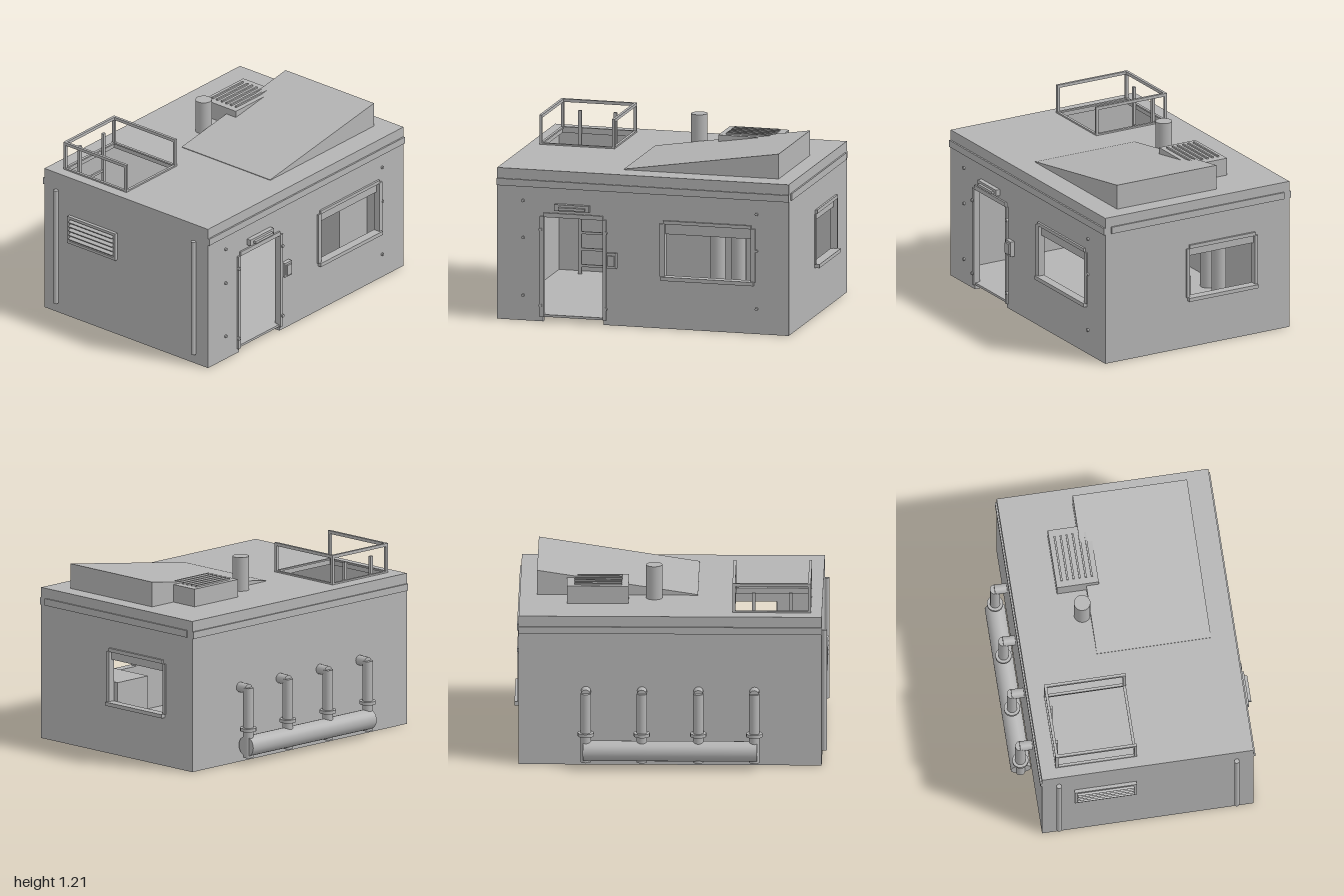
import * as THREE from 'three';

const T = 0.035;                                   // wall thickness
const X = 0.965, ZF = 0.725, ZB = -0.638, TOP = 0.985, CEIL = 0.955;

export function createModel() {
  const model = new THREE.Group();
  model.name = 'bunkerHut';
  const grey = new THREE.MeshStandardMaterial({ color: 0xb4b4b4 });
  grey.name = 'plain grey';

  const add = (name, geo, x = 0, y = 0, z = 0) => {
    const m = new THREE.Mesh(geo, grey);
    m.name = name;
    m.position.set(x, y, z);
    model.add(m);
    return m;
  };
  const box = (name, x0, x1, y0, y1, z0, z1) =>
    add(name, new THREE.BoxGeometry(x1 - x0, y1 - y0, z1 - z0), (x0 + x1) / 2, (y0 + y1) / 2, (z0 + z1) / 2);
  // axis: 'x', 'y' or 'z'
  const rod = (name, axis, r, len, x, y, z, sides = 16) => {
    const g = new THREE.CylinderGeometry(r, r, len, sides);
    if (axis === 'x') g.rotateZ(Math.PI / 2);
    if (axis === 'z') g.rotateX(Math.PI / 2);
    return add(name, g, x, y, z);
  };
  const outline = (pts) => new THREE.Shape(pts.map(([a, b]) => new THREE.Vector2(a, b)));
  const rect = (a0, a1, b0, b1) => [[a0, b0], [a1, b0], [a1, b1], [a0, b1]];
  const panel = (pts, depth, holes = []) => {
    const s = outline(pts);
    holes.forEach((h) => s.holes.push(outline(h)));
    return new THREE.ExtrudeGeometry(s, { depth, bevelEnabled: false });
  };

  // Front wall with door notch and window
  add('frontWall', panel(
    [[-X, 0], [-0.66, 0], [-0.66, 0.685], [-0.26, 0.685], [-0.26, 0], [X, 0], [X, CEIL], [-X, CEIL]],
    T, [rect(0.145, 0.715, 0.34, 0.685)]), 0, 0, ZF - T);
  box('backWall', -X, X, 0, CEIL, ZB, ZB + T);
  box('rightEndWall', -X, -X + T, 0, CEIL, ZB + T, ZF - T);
  // Left end wall with window; drawn along -z
  const side = panel(rect(-ZF + T, -ZB - T, 0, CEIL), T, [rect(-0.105, 0.38, 0.338, 0.67)]);
  add('leftEndWall', side.rotateY(Math.PI / 2), X - T);
  // Roof with hatch opening
  const roof = panel(rect(-X, X, -ZF, -ZB), TOP - CEIL, [rect(-0.885, -0.405, 0.025, 0.53)]);
  add('roof', roof.rotateX(-Math.PI / 2), 0, CEIL);
  box('floor', -X + T, X - T, 0.03, 0.045, ZB + T, ZF - T);
  box('doorSill', -0.66, -0.26, 0.03, 0.045, ZF - T, ZF);

  // Trim bands under the roof
  box('frontBand', -X, X, 0.872, 0.917, ZF, ZF + 0.011);
  box('backBand', -X, X, 0.872, 0.917, ZB - 0.011, ZB);
  box('sideBand', X, X + 0.011, 0.875, 0.92, -0.595, 0.683);

  // Door frame, hinge studs, lamp and switch box
  for (const x of [-0.668, -0.253]) {
    box('doorPost', x - 0.0125, x + 0.0125, 0.03, 0.685, ZF - 0.02, ZF + 0.012);
    for (const y of [0.6, 0.105]) rod('doorStud', 'z', 0.011, 0.016, x < -0.5 ? -0.675 : -0.245, y, ZF + 0.012, 12);
  }
  box('doorLintel', -0.655, -0.265, 0.682, 0.71, ZF - 0.02, ZF + 0.012);
  box('doorLampBase', -0.58, -0.35, 0.73, 0.772, ZF, 0.755);
  box('doorLamp', -0.55, -0.375, 0.74, 0.757, 0.755, 0.773);
  box('switchBox', -0.235, -0.17, 0.375, 0.475, ZF, 0.752);
  box('switchPad', -0.225, -0.18, 0.39, 0.46, 0.752, 0.764);
  for (const x of [-0.793, 0.752])
    for (const y of [0.78, 0.54, 0.163]) rod('wallStud', 'z', 0.01, 0.012, x, y, ZF + 0.005, 12);

  // Front window frame and rolled-up shutter
  box('windowPost', 0.113, 0.145, 0.338, 0.683, ZF - 0.01, ZF + 0.01);
  box('windowPost', 0.715, 0.745, 0.338, 0.683, ZF - 0.01, ZF + 0.01);
  box('windowHead', 0.135, 0.717, 0.683, 0.705, ZF - 0.01, ZF + 0.014);
  box('windowSill', 0.122, 0.735, 0.315, 0.34, ZF - 0.02, ZF + 0.024);
  box('windowShutter', 0.145, 0.715, 0.613, 0.685, ZF - 0.03, ZF - 0.015);

  // Side window frame and shutter
  box('sideWindowPost', X - 0.01, X + 0.01, 0.338, 0.668, 0.104, 0.127);
  box('sideWindowPost', X - 0.01, X + 0.01, 0.338, 0.668, -0.4, -0.378);
  box('sideWindowHead', X - 0.01, X + 0.014, 0.668, 0.692, -0.38, 0.106);
  box('sideWindowSill', X - 0.02, 0.996, 0.316, 0.34, -0.392, 0.118);
  box('sideWindowShutter', X - 0.03, X - 0.015, 0.612, 0.67, -0.38, 0.105);

  // Louvred vent and drain pipes on the right end
  const vx = -X - 0.022;
  box('ventRail', vx, -X, 0.53, 0.548, -0.43, -0.03);
  box('ventRail', vx, -X, 0.702, 0.72, -0.43, -0.03);
  box('ventSide', vx, -X, 0.548, 0.702, -0.43, -0.412);
  box('ventSide', vx, -X, 0.548, 0.702, -0.048, -0.03);
  for (let i = 0; i < 5; i++) {
    const s = box('ventSlat', -0.998, -X, 0.565 + i * 0.03, 0.572 + i * 0.03, -0.412, -0.048);
    s.rotation.z = 0.3;
  }
  for (const z of [-0.53, 0.615]) rod('drainPipe', 'y', 0.016, 0.8, -0.98, 0.47, z);

  // Roof hatch: curb, posts and rail open at the front
  const hx0 = -0.895, hx1 = -0.395, hz0 = -0.54, hz1 = -0.015, w = 0.018;
  for (const [y0, y1] of [[TOP, 0.995], [1.157, 1.177]]) {
    box('hatchRail', hx0, hx1, y0, y1, hz0, hz0 + w);
    box('hatchRail', hx0, hx0 + w, y0, y1, hz0 + w, hz1);
    box('hatchRail', hx1 - w, hx1, y0, y1, hz0 + w, hz1);
  }
  box('hatchCurb', hx0 + w, hx1 - w, TOP, 0.995, hz1 - w, hz1);
  for (const x of [hx0, hx1 - w])
    for (const z of [hz0, hz1 - w]) box('hatchPost', x, x + w, 0.995, 1.157, z, z + w);

  // Ladder up through the hatch
  for (const x of [-0.765, -0.53]) box('ladderRail', x - 0.011, x + 0.011, 0.045, 1.11, -0.522, -0.505);
  for (let y = 0.1; y < 0.95; y += 0.107) box('ladderRung', -0.754, -0.541, y - 0.008, y + 0.008, -0.52, -0.507);

  // Chimney and slatted roof unit
  rod('chimney', 'y', 0.053, 0.225, 0.108, 1.0925, -0.217, 24);
  box('roofUnit', 0.27, 0.663, TOP, 1.1, -0.355, -0.085);
  for (let i = 0; i < 6; i++) {
    const z = -0.318 + i * 0.039;
    box('roofUnitSlat', 0.312, 0.615, 1.1, 1.11, z - 0.006, z + 0.006);
  }
  // Sloping roof wedge
  add('roofWedge', panel([[-0.17, TOP], [0.855, TOP], [0.855, 1.147], [-0.17, 0.989]], 0.737), 0, 0, -0.165);

  // Rear manifold with four riser pipes bending into the wall
  rod('manifold', 'x', 0.065, 1.11, 0, 0.113, -0.712, 24);
  for (const x of [-0.537, -0.18, 0.18, 0.537]) {
    rod('riserPipe', 'y', 0.033, 0.455, x, 0.2675, -0.713);
    rod('riserFlange', 'y', 0.052, 0.022, x, 0.224, -0.713);
    rod('riserOutlet', 'z', 0.032, 0.085, x, 0.487, -0.6745);
  }

  // Interior fittings
  box('cabinet', 0.657, X - T, 0.045, 0.463, 0.07, 0.45);
  for (const x of [0.145, 0.283]) rod('storageDrum', 'y', 0.048, 0.445, x, 0.2675, -0.52);

  return model;
}
